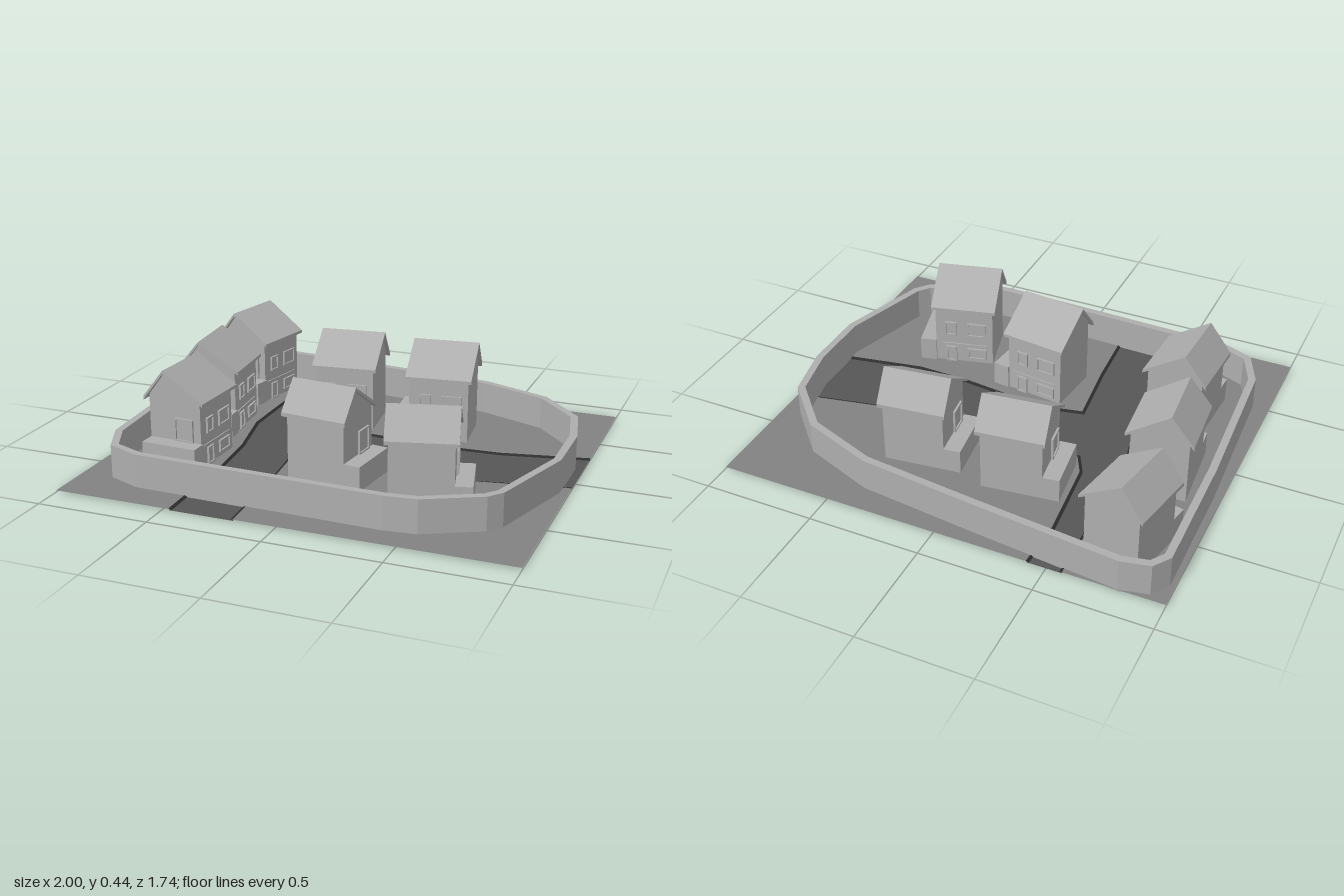
import * as THREE from 'three';

const mat = (name, color, side = THREE.FrontSide) => {
  const m = new THREE.MeshStandardMaterial({ color, side });
  m.name = name;
  return m;
};
const stone = mat('pale grey', 0xaeaeae);
const soil = mat('ground grey', 0x828282, THREE.DoubleSide);
const asphalt = mat('road grey', 0x565656, THREE.DoubleSide);
const kerbDark = mat('kerb grey', 0x2e2e2e, THREE.DoubleSide);

function add(parent, name, geometry, material, x = 0, y = 0, z = 0) {
  const mesh = new THREE.Mesh(geometry, material);
  mesh.name = name;
  mesh.position.set(x, y, z);
  parent.add(mesh);
  return mesh;
}

// Plan points are [x, z]; shapes are drawn with z flipped, then laid flat.
const planShape = (pts) => new THREE.Shape(pts.map(([x, z]) => new THREE.Vector2(x, -z)));
const flat = (pts) => new THREE.ShapeGeometry(planShape(pts)).rotateX(-Math.PI / 2);

// Mitred sideways offset of a plan polyline.
function offset(pts, d, closed) {
  const n = pts.length;
  const normal = (i, j) => {
    const dx = pts[j][0] - pts[i][0], dz = pts[j][1] - pts[i][1], l = Math.hypot(dx, dz);
    return [-dz / l, dx / l];
  };
  return pts.map(([x, z], i) => {
    const first = !closed && i === 0, last = !closed && i === n - 1;
    const a = first ? normal(0, 1) : normal((i + n - 1) % n, i);
    const b = last ? a : normal(i, (i + 1) % n);
    const k = d / (1 + a[0] * b[0] + a[1] * b[1]);
    return [x + (a[0] + b[0]) * k, z + (a[1] + b[1]) * k];
  });
}

// Sloped strip between two plan polylines.
function strip(a, ya, b, yb) {
  const pos = [], idx = [];
  a.forEach((p, i) => {
    pos.push(p[0], ya, p[1], b[i][0], yb, b[i][1]);
    if (i) idx.push(2 * i - 2, 2 * i - 1, 2 * i, 2 * i, 2 * i - 1, 2 * i + 1);
  });
  const g = new THREE.BufferGeometry();
  g.setAttribute('position', new THREE.Float32BufferAttribute(pos, 3));
  g.setIndex(idx);
  const out = g.toNonIndexed();
  out.computeVertexNormals();
  return out;
}

// Extrudes a [z, y] profile along x, centred.
function alongX(profile, width) {
  const s = new THREE.Shape(profile.map(([z, y]) => new THREE.Vector2(-z, y)));
  return new THREE.ExtrudeGeometry(s, { depth: width, bevelEnabled: false })
    .translate(0, 0, -width / 2).rotateY(Math.PI / 2);
}

// Window or door: thin panel inside a raised frame, facing +z.
function opening(name, w, h) {
  const g = new THREE.Group();
  g.name = name;
  const t = 0.007;
  add(g, 'pane', new THREE.BoxGeometry(w, h, 0.004), stone);
  for (const s of [-1, 1]) {
    add(g, 'frameSide', new THREE.BoxGeometry(t, h, 0.018), stone, s * (w - t) / 2, 0, 0);
    add(g, 'frameRail', new THREE.BoxGeometry(w, t, 0.018), stone, 0, s * (h - t) / 2, 0);
  }
  return g;
}

function house() {
  const g = new THREE.Group();
  g.name = 'house';
  // gabled body with an off-centre ridge
  add(g, 'houseWalls', alongX([[-0.125, 0.01], [0.125, 0.01], [0.125, 0.308], [-0.045, 0.42], [-0.125, 0.315]], 0.27), stone);
  // roof: short steep back, long shallow front
  add(g, 'roof', alongX([[-0.146, 0.308], [-0.146, 0.291], [-0.045, 0.42], [0.147, 0.294], [0.147, 0.308], [-0.045, 0.435]], 0.302), stone);
  // side annex with a flat terrace top
  add(g, 'annex', new THREE.BoxGeometry(0.075, 0.11, 0.26), stone, -0.172, 0.065, 0.005);
  // front openings and the band between floors
  for (const [name, w, h, x, y] of [
    ['narrowWindow', 0.055, 0.07, -0.062, 0.19],
    ['wideWindow', 0.09, 0.07, 0.06, 0.19],
    ['frontDoor', 0.05, 0.08, -0.062, 0.05],
    ['lowerWindow', 0.09, 0.055, 0.06, 0.058],
  ]) {
    const o = opening(name, w, h);
    o.position.set(x, y, 0.126);
    g.add(o);
  }
  add(g, 'floorBand', new THREE.BoxGeometry(0.22, 0.006, 0.008), stone, 0, 0.105, 0.126);
  // wide door onto the terrace
  const door = opening('terraceDoor', 0.09, 0.105);
  door.rotation.y = -Math.PI / 2;
  door.position.set(-0.136, 0.173, 0.045);
  g.add(door);
  return g;
}

export function createModel() {
  const model = new THREE.Group();
  model.name = 'walledVillage';
  const X = 1, Z = 0.87, groundY = 0.008, roadY = 0.003;

  // road edges
  const west = [[-0.57, -Z], [-0.57, -0.175], [-0.507, 0.11], [-0.482, 0.37], [-0.47, Z]];
  const north = [[-0.415, -Z], [-0.43, -0.65], [-0.395, -0.27], [-0.345, -0.175],
    [-0.02, -0.225], [0.405, -0.2], [0.61, -0.21], [X, -0.29]];
  const south = [[X, 0.068], [0.59, 0.143], [0.35, 0.138], [-0.05, 0.093], [-0.24, 0.132], [-0.208, 0.43], [-0.182, Z]];

  // ground plots and road
  add(model, 'westGround', flat([...west, [-X, Z], [-X, -Z]]), soil, 0, groundY, 0);
  add(model, 'northGround', flat([...north, [X, -Z]]), soil, 0, groundY, 0);
  add(model, 'southGround', flat([...south, [X, Z]]), soil, 0, groundY, 0);
  add(model, 'road', flat([...north, ...south, ...west.slice().reverse()]), asphalt, 0, roadY, 0);
  for (const [edge, d] of [[west, -0.013], [north, 0.013], [south, 0.013]]) {
    add(model, 'kerb', strip(edge, groundY + 0.003, offset(edge, d, false), roadY + 0.001), kerbDark);
  }

  // enclosing wall, traced anticlockwise from above
  const line = [[-0.95, -0.19], [-0.91, 0.49], [-0.84, 0.645], [-0.7, 0.7], [0.405, 0.73],
    [0.54, 0.715], [0.775, 0.595], [0.82, 0.54], [0.945, 0.13], [0.945, -0.16], [0.895, -0.4],
    [0.705, -0.605], [0.385, -0.725], [-0.15, -0.785], [-0.8, -0.85], [-0.915, -0.825], [-0.96, -0.76]];
  const ring = planShape(offset(line, 0.019, true));
  ring.holes.push(planShape(offset(line, -0.014, true)));
  if (THREE.ShapeUtils.isClockWise(ring.getPoints())) throw new Error('wall outline is reversed');
  add(model, 'perimeterWall',
    new THREE.ExtrudeGeometry(ring, { depth: 0.155, bevelEnabled: false }).rotateX(-Math.PI / 2), stone);

  // houses: x, z, turn
  const P = Math.PI;
  for (const [x, z, turn] of [
    [-0.17, -0.389, 0.12], [0.287, -0.389, 0.12],
    [-0.005, 0.283, P - 0.12], [0.454, 0.395, P + 0.25],
    [-0.751, -0.623, P / 2 - 0.2], [-0.734, -0.143, P / 2 + 0.08], [-0.662, 0.291, P / 2 - 0.05],
  ]) {
    const h = house();
    h.position.set(x, 0, z);
    h.rotation.y = turn;
    model.add(h);
  }
  return model;
}
